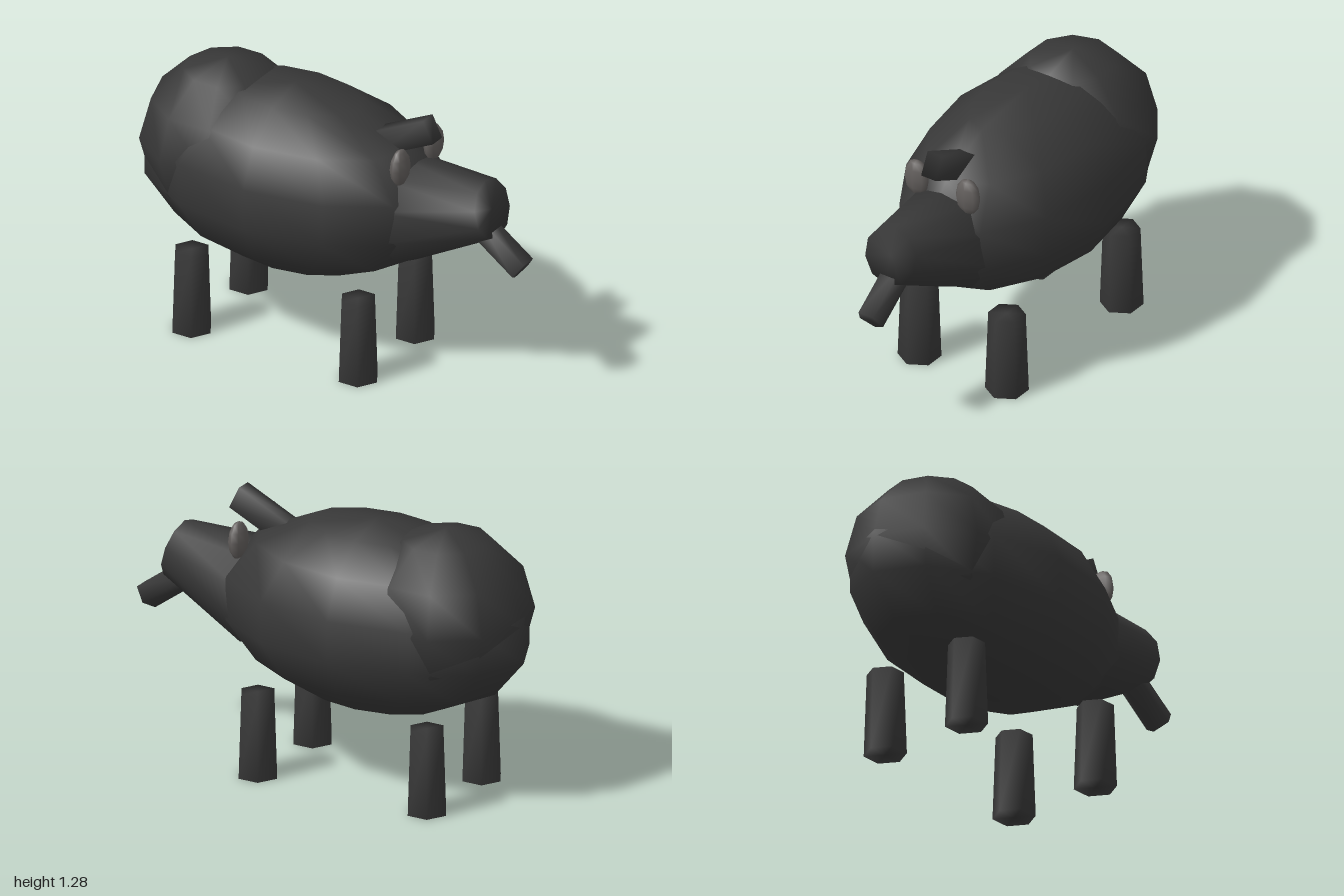
import * as THREE from 'three';
import { mergeVertices } from 'three/addons/utils/BufferGeometryUtils.js';

export function createModel() {
  const model = new THREE.Group();
  const hide = new THREE.MeshStandardMaterial({ color: 0x383838 });
  hide.name = 'darkGreyHide';
  const eyeGrey = new THREE.MeshStandardMaterial({ color: 0x625e5c });
  eyeGrey.name = 'eyeGrey';

  // Weld all corners so the low-poly forms shade smoothly, caps included
  const weld = (g) => {
    g.deleteAttribute('normal');
    g.deleteAttribute('uv');
    const welded = mergeVertices(g, 1e-4);
    welded.computeVertexNormals();
    return welded;
  };
  const add = (name, geometry, material, x, y, z) => {
    const mesh = new THREE.Mesh(weld(geometry), material);
    mesh.name = name;
    mesh.position.set(x, y, z);
    model.add(mesh);
    return mesh;
  };
  const ellipsoid = (rx, ry, rz, w, h) => new THREE.SphereGeometry(1, w, h).scale(rx, ry, rz);
  // Prism pointing along an angle in the side plane (0 = forward, 90 = up)
  const prism = (rEnd, rStart, length, sides, degrees) =>
    new THREE.CylinderGeometry(rEnd, rStart, length, sides)
      .rotateY(Math.PI / 2)
      .rotateZ(THREE.MathUtils.degToRad(degrees - 90));

  // Barrel-shaped torso and rounded rump
  add('body', ellipsoid(0.782, 0.452, 0.46, 12, 7), hide, -0.24, 0.807, 0);
  add('rump', ellipsoid(0.4, 0.4, 0.4, 10, 6), hide, -0.6, 0.885, 0);

  // Tapered head tilted upward, with a drooping snout
  add('head', prism(0.14, 0.26, 0.48, 10, 14.4), hide, 0.568, 0.847, 0);
  add('snout', prism(0.068, 0.068, 0.3, 5, -36), hide, 0.8385, 0.733, 0);

  // Block crest on top of the neck
  const crestAngle = THREE.MathUtils.degToRad(25.6);
  add('crest', new THREE.BoxGeometry(0.34, 0.116, 0.08).rotateZ(crestAngle), hide, 0.332, 1.149, 0);

  // Mirrored eyes and legs
  for (const side of [1, -1]) {
    const label = side > 0 ? 'Left' : 'Right';
    add('eye' + label, ellipsoid(0.038, 0.09, 0.066, 8, 6), eyeGrey, 0.402, 1.07, side * 0.142);
    add('frontLeg' + label, prism(0.085, 0.099, 0.402, 6, 90), hide, 0.242, 0.201, side * 0.242);
    add('backLeg' + label, prism(0.085, 0.099, 0.402, 6, 90), hide, -0.64, 0.201, side * 0.242);
  }
  return model;
}
